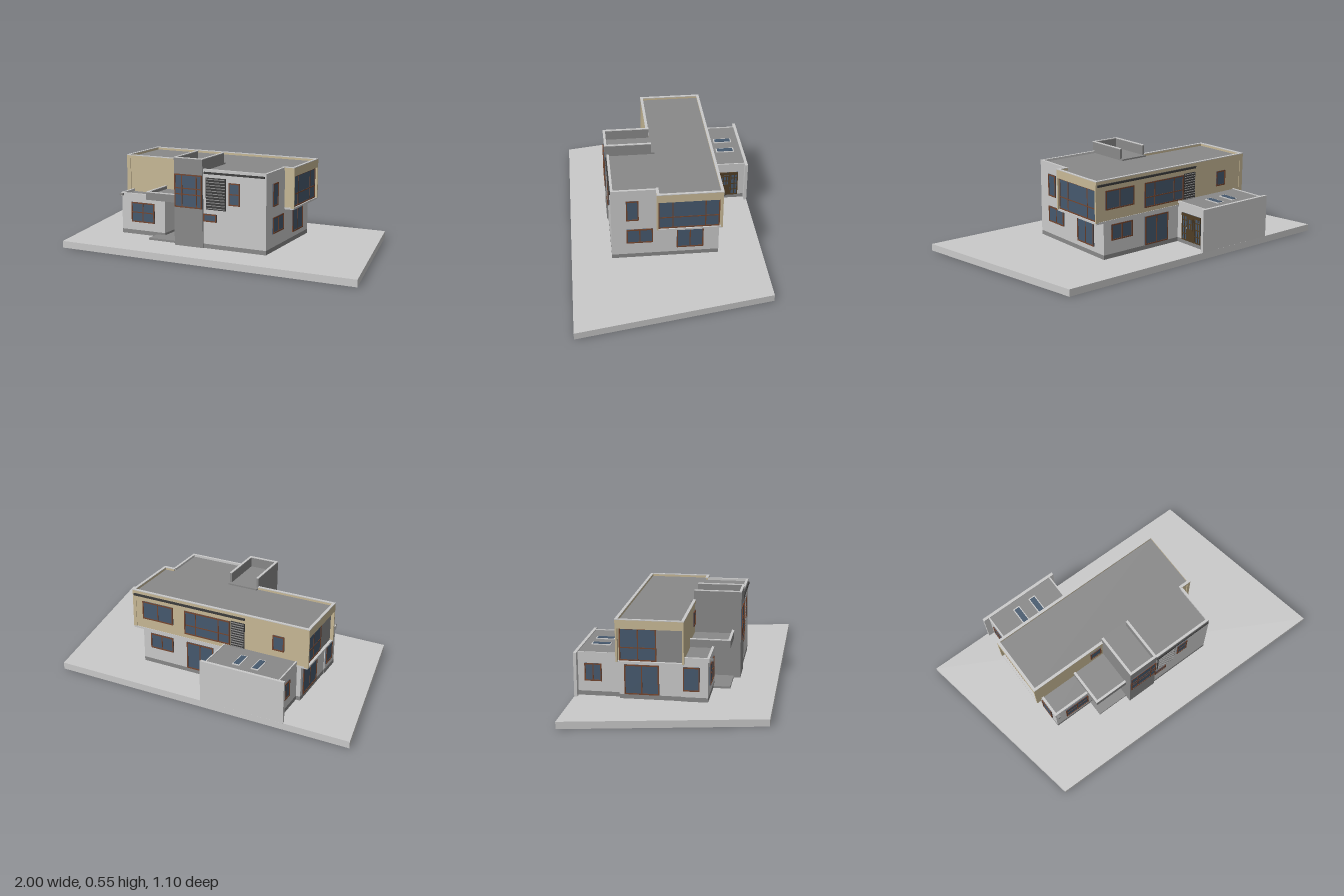
import * as THREE from 'three';

const mat = (name, color, side = THREE.FrontSide) => {
  const m = new THREE.MeshStandardMaterial({ color, side });
  m.name = name;
  return m;
};

export function createModel() {
  const root = new THREE.Group();
  root.name = 'house';
  const wall = mat('light grey render', 0xcacaca);
  const grey = mat('mid grey', 0x898989);
  const tan = mat('tan cladding', 0xc8b996);
  const glass = mat('blue glass', 0x46596e);
  const frame = mat('red brown frame', 0x74462f);
  const wood = mat('dark brown door', 0x4f3d25);
  const dark = mat('charcoal', 0x3c3c3c);

  // box from its limits on each axis
  function box(name, m, x0, x1, y0, y1, z0, z1, parent = root) {
    const b = new THREE.Mesh(new THREE.BoxGeometry(x1 - x0, y1 - y0, z1 - z0), m);
    b.position.set((x0 + x1) / 2, (y0 + y1) / 2, (z0 + z1) / 2);
    b.name = name;
    parent.add(b);
    return b;
  }

  // group lying on a wall: local x runs along the wall, local z points outward
  const turns = { front: 0, right: Math.PI / 2, back: Math.PI, left: -Math.PI / 2 };
  function onWall(name, side, plane, a, b, y0) {
    const g = new THREE.Group();
    g.name = name;
    g.rotation.y = turns[side];
    const mid = (a + b) / 2;
    if (side === 'front' || side === 'back') g.position.set(mid, y0, plane);
    else g.position.set(plane, y0, mid);
    root.add(g);
    return g;
  }

  // glass plate, outer frame and glazing bars; bars are fractions of width / height
  function windowOn(name, side, plane, a, b, y0, y1, cols = [], rows = [], m = frame) {
    const g = onWall(name, side, plane, a, b, y0);
    const w = Math.abs(b - a) / 2, h = y1 - y0, t = 0.007;
    box(name + 'Glass', glass, -w, w, 0, h, -0.002, 0.002, g);
    for (const x of [-w, w - t]) box('frameSide', m, x, x + t, 0, h, 0, 0.005, g);
    for (const y of [0, h - t]) box('frameRail', m, -w, w, y, y + t, 0, 0.005, g);
    for (const c of cols) box('mullion', m, w * (2 * c - 1) - 0.003, w * (2 * c - 1) + 0.003, 0, h, 0, 0.004, g);
    for (const r of rows) box('transom', m, -w, w, h * r - 0.003, h * r + 0.003, 0, 0.004, g);
    return g;
  }

  // parapet rims around a roof; sides is a string of n, s, e, w
  function parapet(name, m, x0, x1, y0, y1, z0, z1, sides, t = 0.014) {
    if (sides.includes('n')) box(name, m, x0, x1, y0, y1, z0, z0 + t);
    if (sides.includes('s')) box(name, m, x0, x1, y0, y1, z1 - t, z1);
    if (sides.includes('w')) box(name, m, x0, x0 + t, y0, y1, z0, z1);
    if (sides.includes('e')) box(name, m, x1 - t, x1, y0, y1, z0, z1);
  }

  // skewed ground slab
  const plot = new THREE.Shape([[-1, 0.55], [-0.81, -0.53], [1, -0.545], [0.8, 0.548]].map(p => new THREE.Vector2(...p)));
  const slab = new THREE.Mesh(new THREE.ExtrudeGeometry(plot, { depth: 0.04, bevelEnabled: false }), wall);
  slab.rotation.x = -Math.PI / 2;
  slab.name = 'groundSlab';
  root.add(slab);

  // ground floor and plinths
  box('mainPlinth', grey, -0.61, 0.39, 0.04, 0.065, -0.298, 0.05);
  box('mainWalls', wall, -0.61, 0.39, 0.065, 0.257, -0.298, 0.05);
  box('rightWingPlinth', grey, 0, 0.39, 0.04, 0.065, 0.05, 0.31);
  box('rightWing', wall, 0, 0.39, 0.065, 0.478, 0.0, 0.31);
  box('leftWingPlinth', grey, -0.615, -0.32, 0.04, 0.065, 0.04, 0.185);
  box('leftWing', wall, -0.615, -0.32, 0.065, 0.27, 0.04, 0.185);
  box('leftWingRoof', grey, -0.605, -0.32, 0.27, 0.273, 0.05, 0.18);
  parapet('leftWingParapet', wall, -0.62, -0.38, 0.265, 0.288, 0.05, 0.192, 'sw');
  box('spout', grey, -0.615, -0.597, 0.272, 0.285, 0.19, 0.213);

  // upper floor with recessed glazed ends
  box('upperFloor', tan, -0.63, 0.43, 0.262, 0.478, -0.305, 0.055);
  box('upperFloorBase', wall, -0.652, 0.447, 0.253, 0.264, -0.308, 0.058);
  for (const [a, b] of [[-0.655, -0.63], [0.43, 0.45]]) {
    box('endFascia', tan, a, b, 0.445, 0.478, -0.308, 0.058);
    for (const z of [-0.308, 0.05]) box('endReturn', tan, a, b, 0.26, 0.478, z, z + 0.01);
  }
  box('mainRoof', grey, -0.645, 0.44, 0.476, 0.481, -0.3, 0.05);
  box('rightWingRoof', grey, 0, 0.38, 0.476, 0.481, 0.04, 0.3);
  parapet('upperParapet', tan, -0.655, 0.45, 0.476, 0.493, -0.31, 0.06, 'new');
  box('upperParapetFront', tan, -0.655, -0.18, 0.476, 0.493, 0.046, 0.06);
  box('upperParapetFront', tan, 0.38, 0.45, 0.476, 0.493, 0.046, 0.06);
  parapet('wingParapet', wall, 0, 0.39, 0.476, 0.494, 0.06, 0.31, 'se');
  // pale copings
  parapet('upperCoping', wall, -0.656, 0.451, 0.493, 0.497, -0.311, 0.061, 'new', 0.016);
  box('frontCoping', wall, -0.656, -0.18, 0.493, 0.497, 0.045, 0.061);
  box('frontCoping', wall, 0.376, 0.451, 0.493, 0.497, 0.045, 0.061);
  // shutter rails
  box('frontRail', dark, 0.01, 0.38, 0.468, 0.479, 0.31, 0.318);
  box('backRail', dark, -0.27, 0.44, 0.463, 0.475, -0.316, -0.305);

  // stair tower, its parapet open at the back
  box('tower', grey, -0.18, 0.002, 0.04, 0.49, 0.03, 0.318);
  parapet('towerParapet', grey, -0.18, 0.002, 0.49, 0.547, 0.05, 0.32, 'sew', 0.012);
  parapet('towerCoping', wall, -0.181, 0.003, 0.547, 0.551, 0.05, 0.321, 'sew', 0.014);
  windowOn('towerWindow', 'front', 0.32, -0.176, 0, 0.265, 0.457, [0.27, 0.8], [0.4, 0.58]);

  // entrance
  box('porchStep', grey, -0.375, -0.18, 0.04, 0.052, 0.05, 0.28);
  box('canopy', grey, -0.39, -0.18, 0.278, 0.305, 0.05, 0.28);
  parapet('canopyParapet', grey, -0.39, -0.18, 0.3, 0.322, 0.05, 0.28, 'sw', 0.012);
  parapet('canopyCoping', wall, -0.391, -0.18, 0.322, 0.326, 0.05, 0.281, 'sw', 0.014);
  box('frontDoor', wood, -0.315, -0.235, 0.065, 0.23, 0.05, 0.057);
  box('doorHandle', wall, -0.307, -0.302, 0.14, 0.15, 0.057, 0.063);

  // front windows
  windowOn('leftWingWindow', 'front', 0.187, -0.547, -0.39, 0.115, 0.235, [0.5], [0.5]);
  windowOn('upperLeftWindow', 'front', 0.057, -0.268, -0.195, 0.358, 0.44);
  windowOn('upperRightWindow', 'front', 0.312, 0.163, 0.232, 0.3, 0.427, [], [0.5]);
  windowOn('smallWindow', 'front', 0.312, 0.005, 0.087, 0.195, 0.24);

  // louvred screens
  function louvre(name, side, plane, a, b, y0, y1) {
    const g = onWall(name, side, plane, a, b, y0);
    const w = Math.abs(b - a) / 2, h = y1 - y0, n = 11;
    box('louvreBack', dark, -w, w, 0, h, -0.002, 0.002, g);
    for (let i = 0; i < n; i++) box('slat', grey, -w + 0.004, w - 0.004, h * (i + 0.4) / n, h * (i + 0.4) / n + 0.004, 0, 0.007, g);
  }
  louvre('frontLouvre', 'front', 0.312, 0.02, 0.145, 0.265, 0.447);
  louvre('backLouvre', 'back', -0.307, -0.27, -0.185, 0.28, 0.44);

  // right side windows
  windowOn('rightLowWindow', 'right', 0.392, 0.077, 0.226, 0.142, 0.235, [0.5]);
  windowOn('rightPatioWindow', 'right', 0.392, -0.21, -0.058, 0.095, 0.237, [0.5]);
  windowOn('rightHighWindow', 'right', 0.392, 0.156, 0.226, 0.297, 0.427);
  windowOn('rightPanorama', 'right', 0.434, -0.292, 0.052, 0.264, 0.445, [0.24, 0.77], [0.4]);

  // back windows
  windowOn('backHighWindow', 'back', -0.307, 0.185, 0.385, 0.325, 0.435, [0.5]);
  windowOn('backWideWindow', 'back', -0.307, -0.18, 0.11, 0.29, 0.435, [0.25, 0.75], [0.4]);
  windowOn('backSmallWindow', 'back', -0.307, -0.51, -0.44, 0.325, 0.415);
  windowOn('backLowWindow', 'back', -0.3, 0.19, 0.34, 0.142, 0.235, [0.5]);
  windowOn('backPatioDoor', 'back', -0.3, -0.07, 0.1, 0.067, 0.235, [0.5]);

  // left side windows
  windowOn('leftPanorama', 'left', -0.632, -0.292, -0.09, 0.264, 0.445, [0.5], [0.4]);
  box('leftEndPanel', grey, -0.635, -0.629, 0.264, 0.445, -0.09, 0.05);
  windowOn('leftPatioDoor', 'left', -0.612, -0.27, -0.08, 0.067, 0.235, [0.5]);
  windowOn('leftTallWindow', 'left', -0.617, 0.05, 0.14, 0.1, 0.235);

  // back annex with its long end wall
  box('annexPlinth', grey, -0.585, -0.15, 0.04, 0.065, -0.535, -0.298);
  box('annexWalls', wall, -0.585, -0.15, 0.065, 0.276, -0.535, -0.298);
  box('annexRoof', grey, -0.583, -0.145, 0.276, 0.284, -0.535, -0.305);
  parapet('annexRim', wall, -0.588, -0.143, 0.274, 0.288, -0.535, -0.305, 'ew', 0.008);
  box('annexEndWall', wall, -0.62, -0.118, 0.005, 0.29, -0.549, -0.532);
  windowOn('annexWindow', 'left', -0.587, -0.495, -0.4, 0.125, 0.225, [0.5]);
  for (const x of [-0.42, -0.308]) {
    box('skylightCurb', wall, x - 0.022, x + 0.022, 0.28, 0.289, -0.49, -0.38);
    box('skylightGlass', glass, x - 0.016, x + 0.016, 0.286, 0.291, -0.483, -0.387);
  }

  // annex door set with glazed sidelights
  windowOn('sidelights', 'right', -0.148, -0.495, -0.34, 0.065, 0.226, [0.14, 0.28, 0.72, 0.86], [0.25, 0.5, 0.75], wood);
  box('annexDoor', wood, -0.149, -0.142, 0.065, 0.21, -0.447, -0.38);
  box('annexDoorHeader', wood, -0.149, -0.141, 0.21, 0.226, -0.495, -0.34);
  windowOn('annexDoorPane', 'right', -0.141, -0.44, -0.387, 0.135, 0.207, [0.33, 0.67], [0.5], wood);
  box('annexDoorHandle', wall, -0.142, -0.136, 0.138, 0.148, -0.39, -0.384);

  return root;
}
